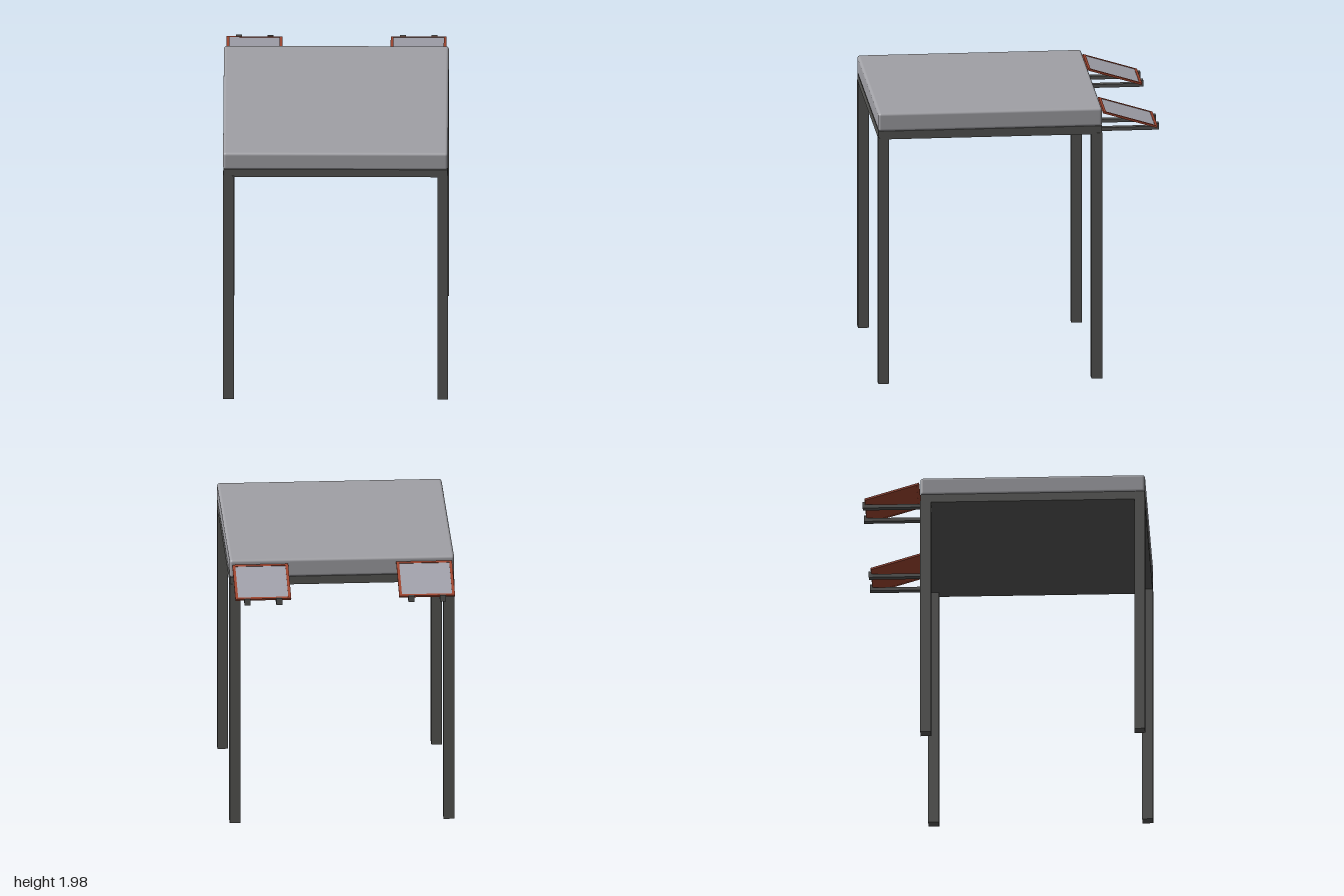
import * as THREE from 'three';
import { RoundedBoxGeometry } from 'three/addons/geometries/RoundedBoxGeometry.js';

const material = (name, color) => {
  const m = new THREE.MeshStandardMaterial({ color });
  m.name = name;
  return m;
};

export function createModel() {
  const model = new THREE.Group();
  model.name = 'tableWithTrays';
  const topGrey = material('topGrey', 0xa0a0a5);
  const frameGrey = material('frameGrey', 0x565654);
  const rimRed = material('rimRed', 0xa0452f);
  const panelGrey = material('panelGrey', 0xa2a2ac);

  const add = (parent, name, geometry, mat, x, y, z) => {
    const mesh = new THREE.Mesh(geometry, mat);
    mesh.name = name;
    mesh.position.set(x, y, z);
    parent.add(mesh);
    return mesh;
  };
  // Box given by its limits on each axis
  const box = (parent, name, mat, [x0, x1], [y0, y1], [z0, z1]) =>
    add(parent, name, new THREE.BoxGeometry(x1 - x0, y1 - y0, z1 - z0), mat,
      (x0 + x1) / 2, (y0 + y1) / 2, (z0 + z1) / 2);

  const half = 0.795, back = -0.59, front = 1, leg = 0.076;

  // Thick rounded top on a solid frame
  add(model, 'top', new RoundedBoxGeometry(half * 2, 0.134, front - back, 4, 0.02), topGrey,
    0, 1.913, (front + back) / 2);
  box(model, 'frame', frameGrey, [-half + 0.002, half - 0.002], [1.79, 1.85],
    [back + 0.002, front - 0.002]);

  // Four square legs
  for (const side of [-1, 1]) {
    for (const z of [back + leg / 2, front - leg / 2]) {
      add(model, 'leg', new THREE.BoxGeometry(leg, 1.8, leg), frameGrey,
        side * (half - leg / 2), 0.9, z);
    }
  }

  // Two sloping trays on bracket arms behind the table
  const width = 0.395, length = 0.402, rim = 0.02;
  const slope = Math.atan2(0.118, 0.385);
  for (const side of [-1, 1]) {
    const rack = new THREE.Group();
    rack.name = side > 0 ? 'leftRack' : 'rightRack';
    rack.position.x = side * 0.58;
    model.add(rack);

    for (const x of [-0.112, 0.112]) {
      box(rack, 'bracketArm', frameGrey, [x - 0.021, x + 0.021], [1.79, 1.815], [-1, back + 0.01]);
      box(rack, 'bracketStop', frameGrey, [x - 0.021, x + 0.021], [1.79, 1.837], [-1, -0.982]);
    }

    const tray = new THREE.Group();
    tray.name = 'tray';
    tray.position.set(0, 1.885, -0.791);
    tray.rotation.x = -slope;
    rack.add(tray);

    add(tray, 'trayBase', new THREE.BoxGeometry(width - 0.01, 0.006, length - 0.01), rimRed, 0, -0.003, 0);
    add(tray, 'trayPanel', new THREE.BoxGeometry(width - 2 * rim, 0.004, length - 2 * rim), panelGrey, 0, 0.002, 0);
    for (const s of [-1, 1]) {
      add(tray, 'sideRim', new THREE.BoxGeometry(rim, 0.014, length), rimRed, s * (width - rim) / 2, 0, 0);
      add(tray, 'endRim', new THREE.BoxGeometry(width - 2 * rim, 0.014, rim), rimRed, 0, 0, s * (length - rim) / 2);
    }
  }
  return model;
}
